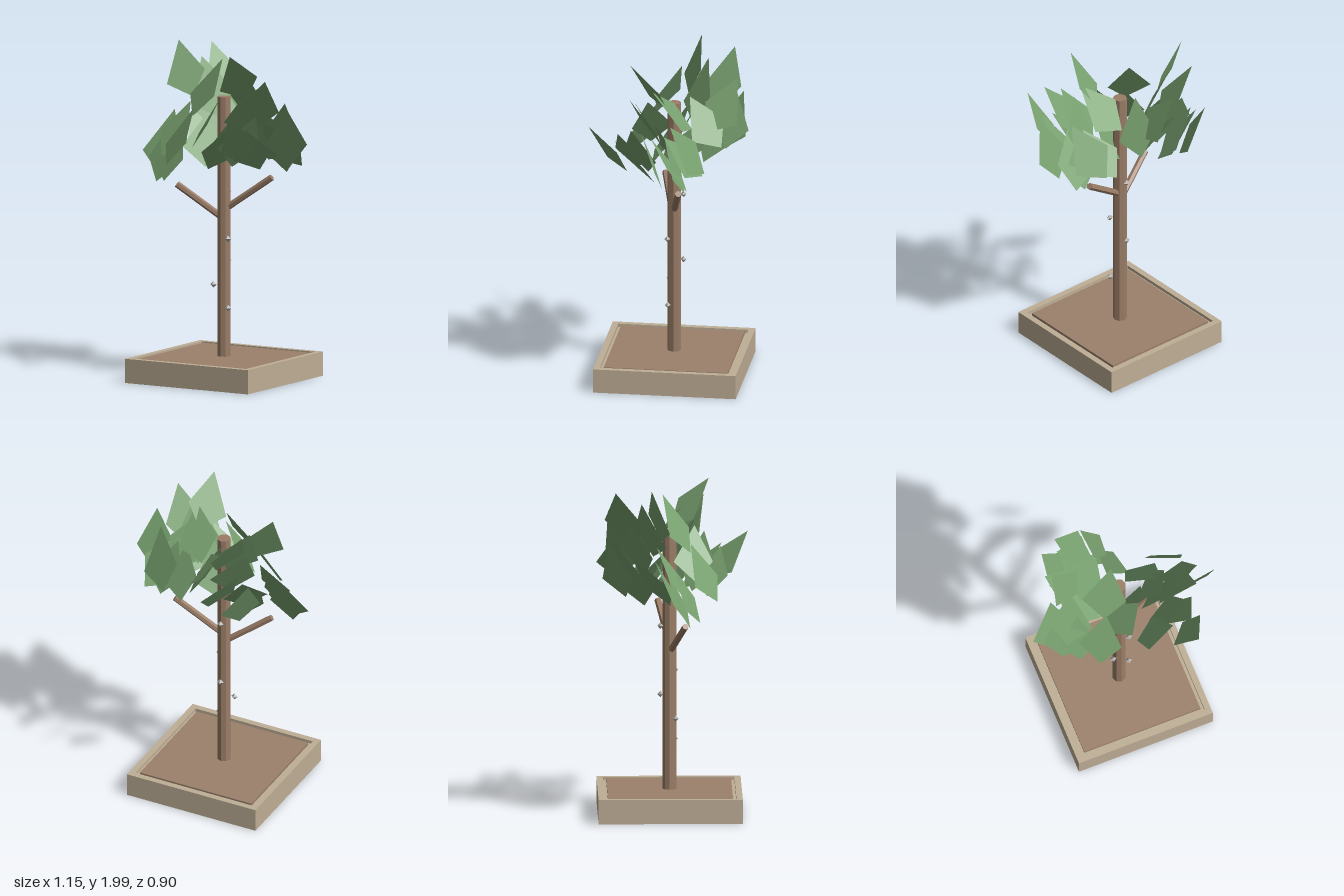
import * as THREE from 'three';

const mat = (name, color) => {
  const m = new THREE.MeshStandardMaterial({ color });
  m.name = name;
  return m;
};

export function createModel() {
  const tree = new THREE.Group();
  tree.name = 'plantedTree';
  const stone = mat('planter stone', 0xbfae96);
  const soilMat = mat('soil', 0x9b816b);
  const bark = mat('bark', 0x9b7d67);
  const budMat = mat('bud grey', 0xb2afac);
  const leafMat = mat('leaf green', 0x79a270);
  bark.flatShading = budMat.flatShading = true;
  leafMat.side = THREE.DoubleSide;

  const CX = -0.028, CZ = -0.005;
  const add = (name, geometry, material, parent = tree) => {
    const mesh = new THREE.Mesh(geometry, material);
    mesh.name = name;
    parent.add(mesh);
    return mesh;
  };

  // Square planter: a frame, a narrow inner groove and a bed of soil
  const square = (h, P = THREE.Shape) => new P([
    new THREE.Vector2(-h, -h), new THREE.Vector2(h, -h),
    new THREE.Vector2(h, h), new THREE.Vector2(-h, h),
  ]);
  const frame = (name, outer, inner, y0, y1) => {
    const shape = square(outer);
    shape.holes.push(square(inner, THREE.Path));
    const g = new THREE.ExtrudeGeometry(shape, { depth: y1 - y0, bevelEnabled: false });
    g.rotateX(-Math.PI / 2).translate(CX, y0, CZ);
    add(name, g, stone);
  };
  frame('planterFrame', 0.427, 0.39, 0, 0.145);
  frame('planterGroove', 0.39, 0.37, 0, 0.125);
  add('planterFloor', new THREE.BoxGeometry(0.74, 0.02, 0.74), stone).position.set(CX, 0.01, CZ);
  add('soil', new THREE.BoxGeometry(0.74, 0.121, 0.74), soilMat).position.set(CX, 0.0805, CZ);

  // Trunk and two branches
  const limb = (name, from, to, radius, sides) => {
    const a = new THREE.Vector3(...from), b = new THREE.Vector3(...to);
    const d = b.clone().sub(a);
    const mesh = add(name, new THREE.CylinderGeometry(radius, radius, d.length(), sides), bark);
    mesh.position.copy(a).add(b).multiplyScalar(0.5);
    mesh.quaternion.setFromUnitVectors(new THREE.Vector3(0, 1, 0), d.normalize());
  };
  limb('trunk', [CX, 0.12, CZ], [CX, 1.695, CZ], 0.041, 8);
  limb('rightBranch', [-0.05, 0.98, 0.005], [-0.3, 1.16, 0.085], 0.02, 6);
  limb('leftBranch', [-0.01, 1.03, -0.01], [0.265, 1.225, -0.07], 0.02, 6);

  // Small pointed buds along the trunk
  const budGeometry = new THREE.OctahedronGeometry(0.022);
  budGeometry.scale(1, 0.9, 0.8);
  const buds = [
    [0.02, 0.435, 0.027], [-0.08, 0.57, 0.03], [-0.033, 0.71, -0.06],
    [0.02, 0.85, 0.03], [-0.033, 1.12, -0.06],
  ];
  buds.forEach((p) => add('bud', budGeometry, budMat).position.set(...p));

  // Flat four-sided leaves around the trunk
  const leafGeometry = new THREE.ShapeGeometry(new THREE.Shape([
    new THREE.Vector2(0.02, 0.205), new THREE.Vector2(-0.12, 0.0),
    new THREE.Vector2(-0.03, -0.165), new THREE.Vector2(0.125, -0.065),
  ]));
  let seed = 7;
  const vary = (amount) => {
    seed = (seed * 16807) % 2147483647;
    return (seed / 2147483647 * 2 - 1) * amount;
  };
  const clusters = {
    crownLeaves: [
      [-0.34, 1.81, -0.08], [-0.13, 1.73, 0.04], [0.14, 1.82, 0.11],
      [0.29, 1.67, 0.12], [0.13, 1.68, -0.03], [-0.2, 1.78, -0.28],
      [-0.06, 1.66, -0.29], [-0.19, 1.7, -0.13], [0.0, 1.57, -0.2],
      [0.2, 1.6, 0.1],
    ],
    rightLeaves: [
      [-0.44, 1.38, 0.0], [-0.41, 1.32, 0.05], [-0.33, 1.33, 0.1],
      [-0.22, 1.45, 0.2], [-0.07, 1.54, 0.14], [-0.31, 1.48, -0.32],
      [-0.28, 1.41, -0.21], [-0.2, 1.6, -0.2], [-0.35, 1.46, 0.02],
      [-0.21, 1.4, -0.1], [-0.17, 1.53, -0.33],
    ],
    leftLeaves: [
      [0.45, 1.48, 0.06], [0.28, 1.48, 0.34], [0.09, 1.41, 0.25],
      [0.2, 1.45, 0.17], [0.28, 1.41, 0.18], [0.32, 1.5, -0.14],
      [0.2, 1.42, -0.1], [0.32, 1.4, -0.06], [0.36, 1.42, -0.04],
      [0.24, 1.55, 0.05], [0.04, 1.42, 0.02],
    ],
  };
  for (const [name, spots] of Object.entries(clusters)) {
    const group = new THREE.Group();
    group.name = name;
    tree.add(group);
    for (const [x, y, z] of spots) {
      const leaf = add('leaf', leafGeometry, leafMat, group);
      leaf.position.set(x, y, z);
      // The lean runs backward on the right side and forward on the left
      leaf.rotation.set(0.52 + vary(0.18), Math.atan2(z - CZ, x - CX) + vary(0.25), vary(0.35), 'YXZ');
      const s = 1 + vary(0.08);
      leaf.scale.set(vary(1) < 0 ? -s : s, s, s);
    }
  }
  return tree;
}
